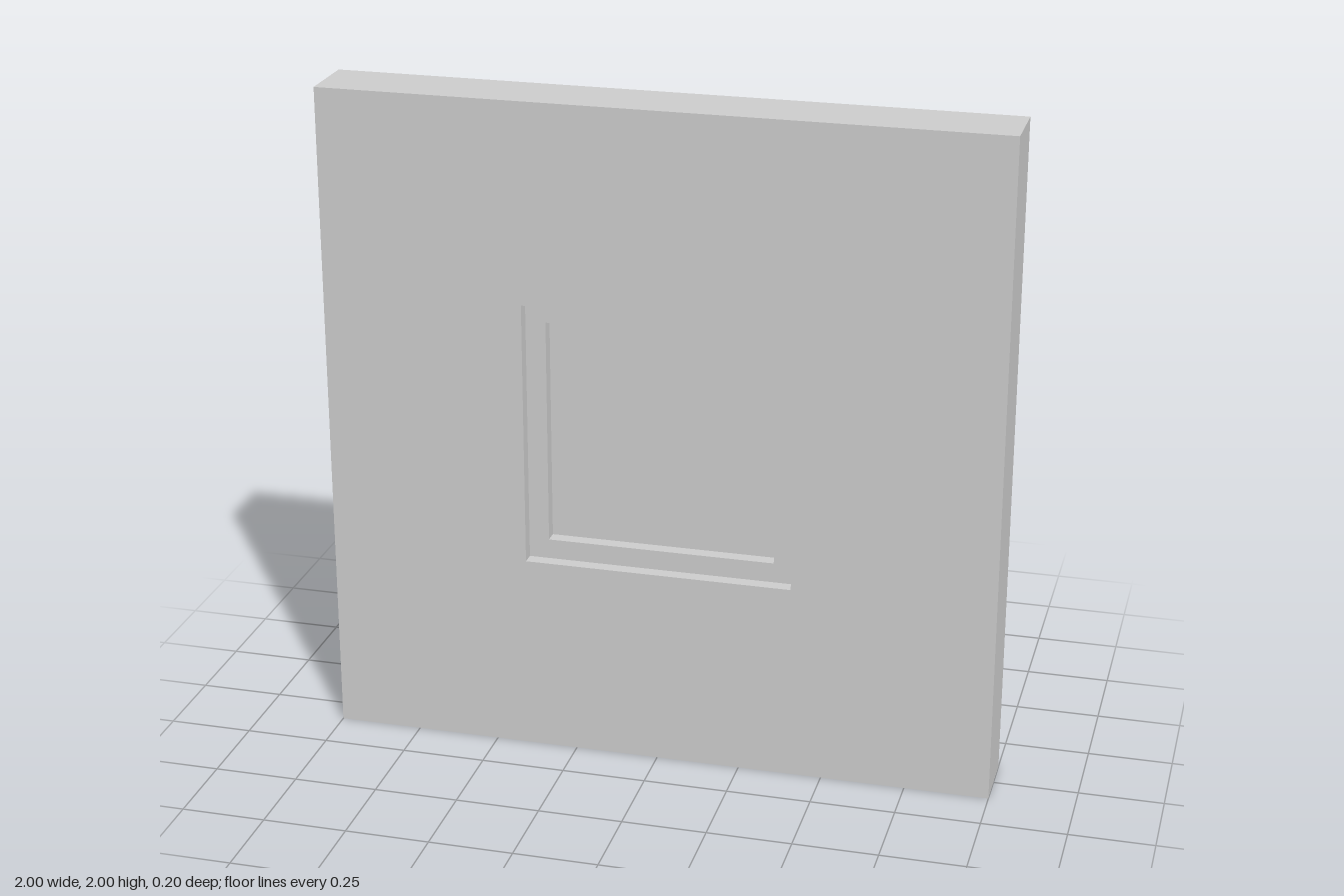
import * as THREE from 'three';

const material = new THREE.MeshStandardMaterial({ color: 0xcccccc, flatShading: true });

// Square outline of a given half side, centred on the origin
function square(half, Type = THREE.Shape) {
  return new Type([
    new THREE.Vector2(-half, -half),
    new THREE.Vector2(half, -half),
    new THREE.Vector2(half, half),
    new THREE.Vector2(-half, half),
  ]);
}

// Square slab with a square opening, centred in depth
function ring(name, outer, inner, depth) {
  const shape = square(outer);
  shape.holes.push(square(inner, THREE.Path));
  const geometry = new THREE.ExtrudeGeometry(shape, { depth, bevelEnabled: false });
  geometry.translate(0, 1, -depth / 2);
  const mesh = new THREE.Mesh(geometry, material);
  mesh.name = name;
  return mesh;
}

export function createModel() {
  const group = new THREE.Group();
  group.name = 'wallWithWindow';

  // Wall panel with the window opening
  group.add(ring('wall', 1, 0.4, 0.2));

  // Window frame, set back from both wall faces
  group.add(ring('windowFrame', 0.4, 0.34, 0.12));

  // Pane, set back from both frame faces
  const pane = new THREE.Mesh(new THREE.BoxGeometry(0.68, 0.68, 0.04), material);
  pane.name = 'windowPane';
  pane.position.y = 1;
  group.add(pane);

  return group;
}
